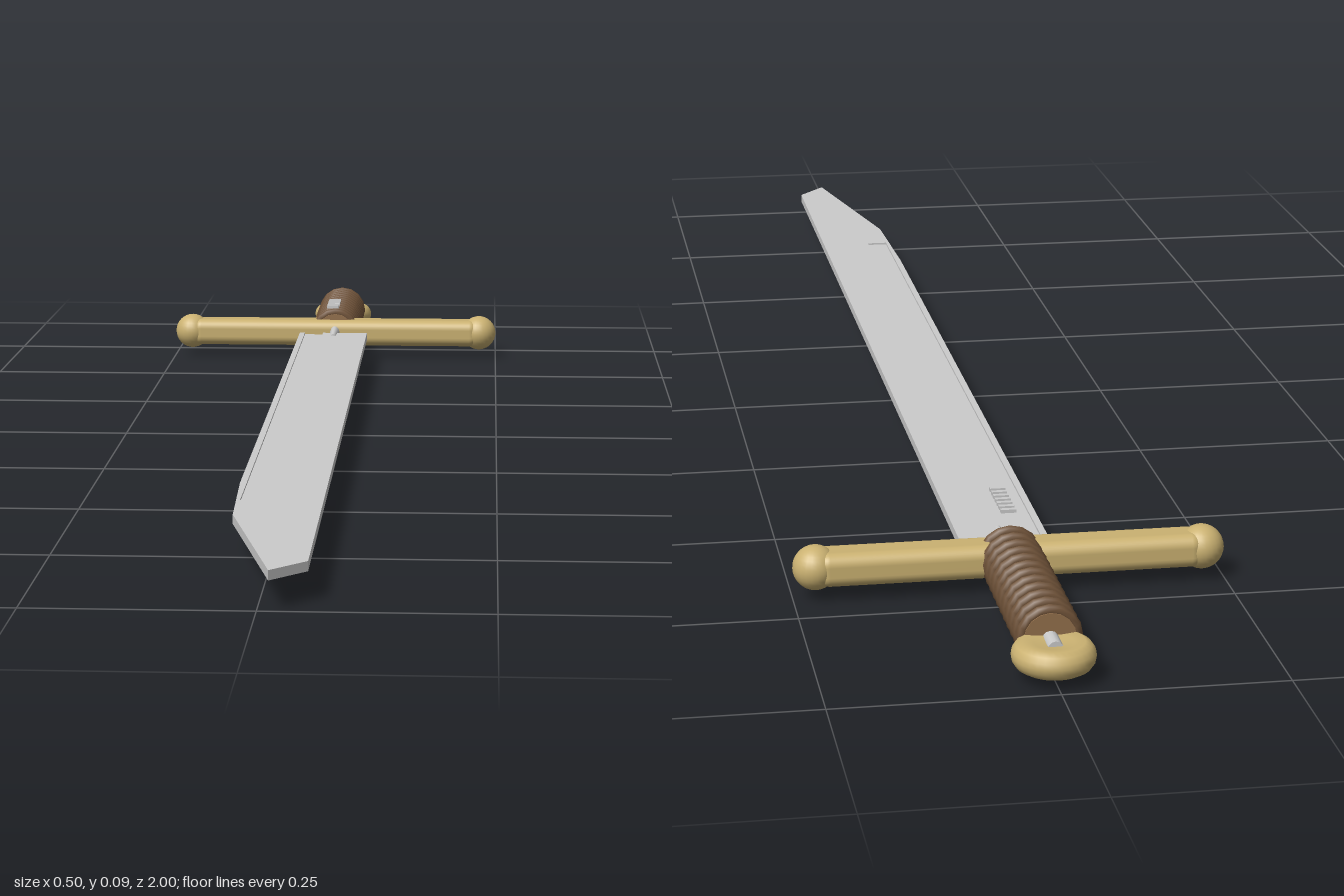
import * as THREE from 'three';
import { RoundedBoxGeometry } from 'three/addons/geometries/RoundedBoxGeometry.js';

const AXIS_Y = 0.039;
const mat = (color) => new THREE.MeshStandardMaterial({ color });

export function createModel() {
  const group = new THREE.Group();
  const steel = mat(0xc0c0c4);
  const brass = mat(0xcbb272);
  const leather = mat(0x94704c);
  const wire = mat(0x6f5238);

  const add = (name, geometry, material, x, y, z) => {
    const mesh = new THREE.Mesh(geometry, material);
    mesh.name = name;
    mesh.position.set(x, y, z);
    group.add(mesh);
    return mesh;
  };

  // Single-edged blade outline in x/z, notched where the fuller runs
  const outline = [
    [-0.053, -0.64], [-0.053, 0.54], [-0.047, 0.72], [0.012, 0.995], [0.051, 0.95],
    [0.051, -0.64], [-0.017, -0.64], [-0.017, 0.64], [-0.045, 0.64], [-0.045, -0.64],
  ];
  const bladeShape = new THREE.Shape(outline.map(([x, z]) => new THREE.Vector2(x, z)));
  const blade = new THREE.ExtrudeGeometry(bladeShape, { depth: 0.011, bevelEnabled: false });
  blade.rotateX(Math.PI / 2);
  add('blade', blade, steel, 0, AXIS_Y + 0.0055, 0);

  // Thin floor of the fuller
  add('fuller', new THREE.BoxGeometry(0.028, 0.006, 1.28), steel, -0.031, AXIS_Y, 0);

  // Tapered tang between blade and guard, and its end at the pommel
  const tang = new THREE.CylinderGeometry(0.008, 0.014, 0.09, 16).rotateX(Math.PI / 2);
  add('tang', tang, steel, 0, AXIS_Y, -0.655).scale.x = 0.65;
  const peg = new THREE.CylinderGeometry(0.009, 0.009, 0.04, 12).rotateX(Math.PI / 2);
  add('tangEnd', peg, steel, 0, AXIS_Y, -0.945);

  // Row of small bars above the tang
  for (let i = 0; i < 7; i++) {
    add('smallBar', new THREE.BoxGeometry(0.018, 0.004, 0.006), steel, 0, 0.09, -0.605 - i * 0.012);
  }

  // Cross guard with ball ends
  add('guardBar', new RoundedBoxGeometry(0.446, 0.04, 0.048, 4, 0.014), brass, 0, AXIS_Y, -0.69);
  for (const side of [-1, 1]) {
    add('guardBall', new THREE.SphereGeometry(0.026, 24, 16), brass, side * 0.224, AXIS_Y, -0.69);
  }

  // Grip core with wound rings
  const core = new THREE.CylinderGeometry(0.029, 0.029, 0.255, 16).rotateX(Math.PI / 2);
  add('grip', core, leather, 0, AXIS_Y, -0.8075);
  const ring = new THREE.TorusGeometry(0.0305, 0.0065, 8, 16);
  for (let i = 0; i < 12; i++) {
    add('gripRing', ring, wire, 0, AXIS_Y, -0.688 - i * 0.0218);
  }

  // Rounded disc pommel lying flat
  const profile = [[0, -0.016], [0.034, -0.016], [0.041, -0.012], [0.045, -0.006], [0.046, 0],
    [0.045, 0.006], [0.041, 0.012], [0.034, 0.016], [0.022, 0.014], [0, 0.012]];
  const pommel = new THREE.LatheGeometry(profile.map(([r, y]) => new THREE.Vector2(r, y)), 32);
  add('pommel', pommel, brass, 0, 0.029, -0.954);

  return group;
}
